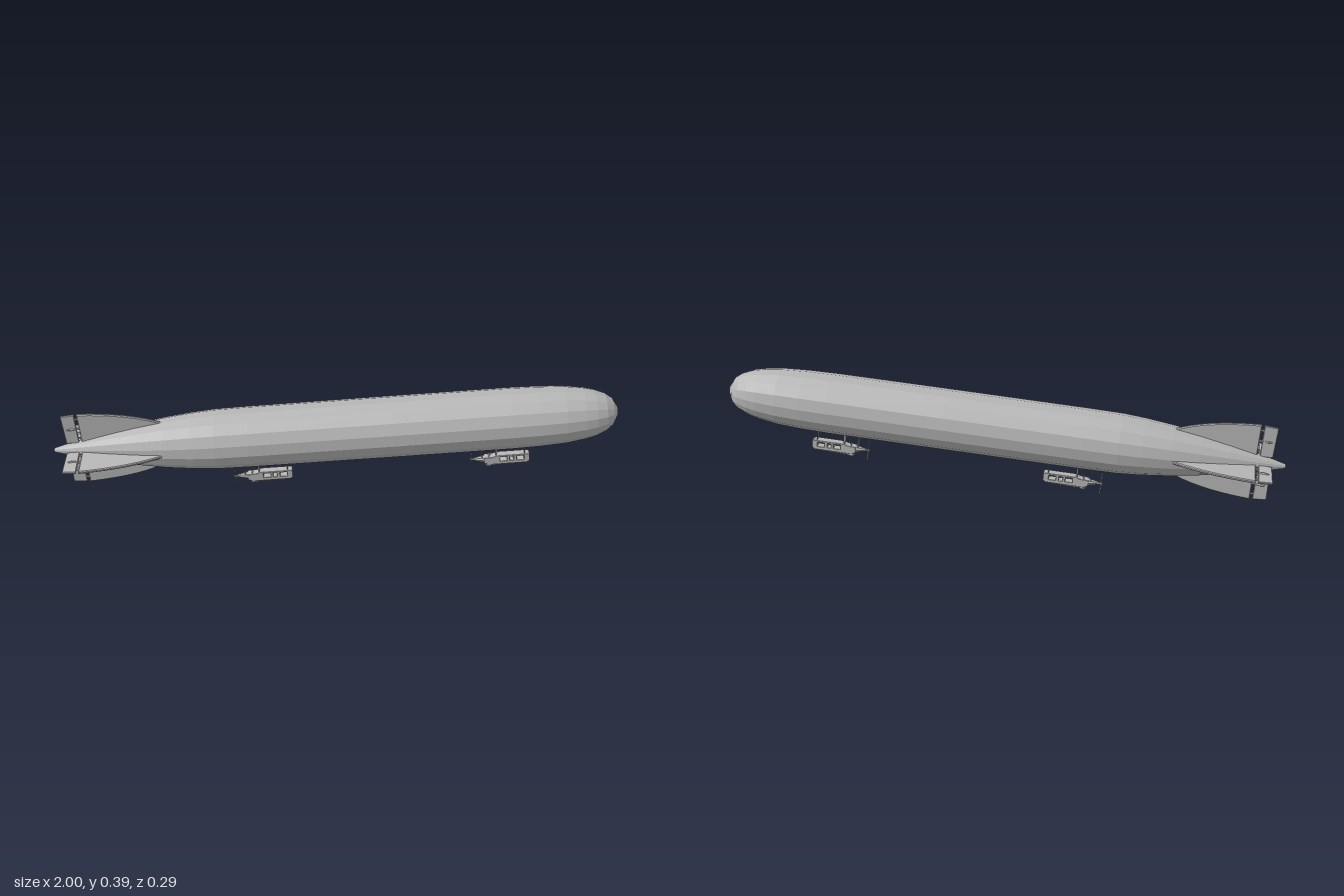
import * as THREE from 'three';

const skin = new THREE.MeshStandardMaterial({ color: 0xb6b6b6, flatShading: true });
skin.name = 'silver grey';

function add(parent, name, geometry, x = 0, y = 0, z = 0) {
  const mesh = new THREE.Mesh(geometry, skin);
  mesh.name = name;
  mesh.position.set(x, y, z);
  parent.add(mesh);
  return mesh;
}

// Plate with a softened edge, centred on z = 0
function plate(shape, thickness, bevel) {
  const depth = thickness - 2 * bevel;
  const g = new THREE.ExtrudeGeometry(shape, {
    depth, curveSegments: 8, bevelEnabled: bevel > 0,
    bevelThickness: bevel, bevelSize: bevel, bevelOffset: -bevel, bevelSegments: 1,
  });
  return g.translate(0, 0, -depth / 2);
}

const polygon = (pts) => new THREE.Shape(pts.map(([x, y]) => new THREE.Vector2(x, y)));

function rod(parent, name, a, b, radius) {
  const from = new THREE.Vector3(...a), to = new THREE.Vector3(...b);
  const dir = to.clone().sub(from);
  const mesh = add(parent, name, new THREE.CylinderGeometry(radius, radius, dir.length(), 6));
  mesh.position.copy(from).add(to).multiplyScalar(0.5);
  mesh.quaternion.setFromUnitVectors(new THREE.Vector3(0, 1, 0), dir.normalize());
}

// Sixteen-sided hull along x
function addHull(parent) {
  const profile = [
    [0, -1.001], [0.008, -0.996], [0.025, -0.93], [0.054, -0.8], [0.074, -0.7], [0.09, -0.6],
    [0.101, -0.5], [0.1065, -0.42], [0.108, -0.3], [0.109, 0.2], [0.109, 0.62], [0.107, 0.72],
    [0.102, 0.81], [0.092, 0.88], [0.083, 0.918], [0.068, 0.955], [0.048, 0.981],
    [0.015, 0.999], [0, 1.001],
  ].map(([r, s]) => new THREE.Vector2(r, s));
  const g = new THREE.LatheGeometry(profile, 16, THREE.MathUtils.degToRad(-85));
  add(parent, 'hull', g.rotateZ(-Math.PI / 2));
}

// Fin, hinged control surface and small balance vane; y points outward
function makeFin() {
  const fin = new THREE.Group();
  const outline = new THREE.Shape();
  outline.moveTo(-0.59, 0.08);
  outline.quadraticCurveTo(-0.7, 0.137, -0.895, 0.147);
  outline.lineTo(-0.895, 0.01);
  outline.lineTo(-0.6, 0.06);
  add(fin, 'finPlate', plate(outline, 0.011, 0.003));
  const flap = polygon([
    [-0.904, 0.026], [-0.904, 0.146], [-0.95, 0.142], [-0.953, 0.138], [-0.95, 0.026],
  ]);
  add(fin, 'controlSurface', plate(flap, 0.008, 0.002));
  for (const y of [0.045, 0.085, 0.125]) {
    add(fin, 'hinge', new THREE.BoxGeometry(0.014, 0.006, 0.005), -0.9, y, 0);
  }
  const vane = add(fin, 'balanceVane', new THREE.SphereGeometry(1, 8, 6), -0.924, 0.085, 0);
  vane.scale.set(0.02, 0.004, 0.01);
  return fin;
}

// Open-windowed engine car with struts and pusher propeller
function makeGondola() {
  const car = new THREE.Group();
  const side = polygon([
    [-0.055, -0.182], [-0.04, -0.19], [0.098, -0.19], [0.108, -0.183],
    [0.108, -0.157], [0.102, -0.153], [-0.012, -0.153], [-0.022, -0.158], [-0.055, -0.16],
  ]);
  for (const [x, w] of [[0.002, 0.026], [0.037, 0.014], [0.062, 0.026]]) {
    side.holes.push(new THREE.Path([
      [x, -0.177], [x, -0.16], [x + w, -0.16], [x + w, -0.177],
    ].map(([px, py]) => new THREE.Vector2(px, py))));
  }
  add(car, 'cabin', plate(side, 0.028, 0.001));
  add(car, 'keel', plate(polygon([
    [-0.05, -0.187], [-0.04, -0.197], [0.088, -0.195], [0.1, -0.188],
  ]), 0.018, 0.001));

  // Engine housing behind the cabin
  const cone = new THREE.CylinderGeometry(0.014, 0.004, 0.042, 8).rotateZ(-Math.PI / 2);
  add(car, 'engineCowl', cone, -0.075, -0.171, 0);
  const sump = add(car, 'bumper', new THREE.SphereGeometry(1, 8, 6), -0.035, -0.195, 0);
  sump.scale.set(0.016, 0.009, 0.011);

  // Two-bladed propeller
  const propeller = new THREE.Group();
  propeller.name = 'propeller';
  propeller.position.set(-0.1, -0.172, 0);
  propeller.rotation.x = THREE.MathUtils.degToRad(20);
  add(propeller, 'hub', new THREE.CylinderGeometry(0.004, 0.003, 0.01, 8).rotateZ(Math.PI / 2));
  for (const dir of [-1, 1]) {
    const blade = add(propeller, 'blade', new THREE.BoxGeometry(0.0025, 0.034, 0.006), 0, dir * 0.0195, 0);
    blade.rotation.y = dir * 0.35;
  }
  car.add(propeller);

  // Struts up into the hull
  for (const z of [-0.008, 0.008]) {
    for (const x of [-0.063, -0.012, 0.09]) {
      rod(car, 'strut', [x, x < -0.05 ? -0.168 : -0.155, z], [x, -0.104, z], 0.002);
    }
    rod(car, 'brace', [-0.04, -0.16, z], [-0.012, -0.104, z], 0.0012);
  }
  add(car, 'radiator', new THREE.BoxGeometry(0.005, 0.04, 0.022), -0.012, -0.127, 0);
  return car;
}

export function createModel() {
  const model = new THREE.Group();
  model.name = 'airship';
  const ship = new THREE.Group();
  ship.name = 'tiltedShip';
  ship.rotation.z = THREE.MathUtils.degToRad(4);
  ship.position.y = 0.233;
  model.add(ship);

  addHull(ship);

  ['topFin', 'leftFin', 'bottomFin', 'rightFin'].forEach((name, i) => {
    const fin = makeFin();
    fin.name = name;
    fin.rotation.x = i * Math.PI / 2;
    ship.add(fin);
  });

  for (const [name, x] of [['rearGondola', -0.271], ['frontGondola', 0.582]]) {
    const car = makeGondola();
    car.name = name;
    car.position.x = x;
    ship.add(car);
  }
  return model;
}
